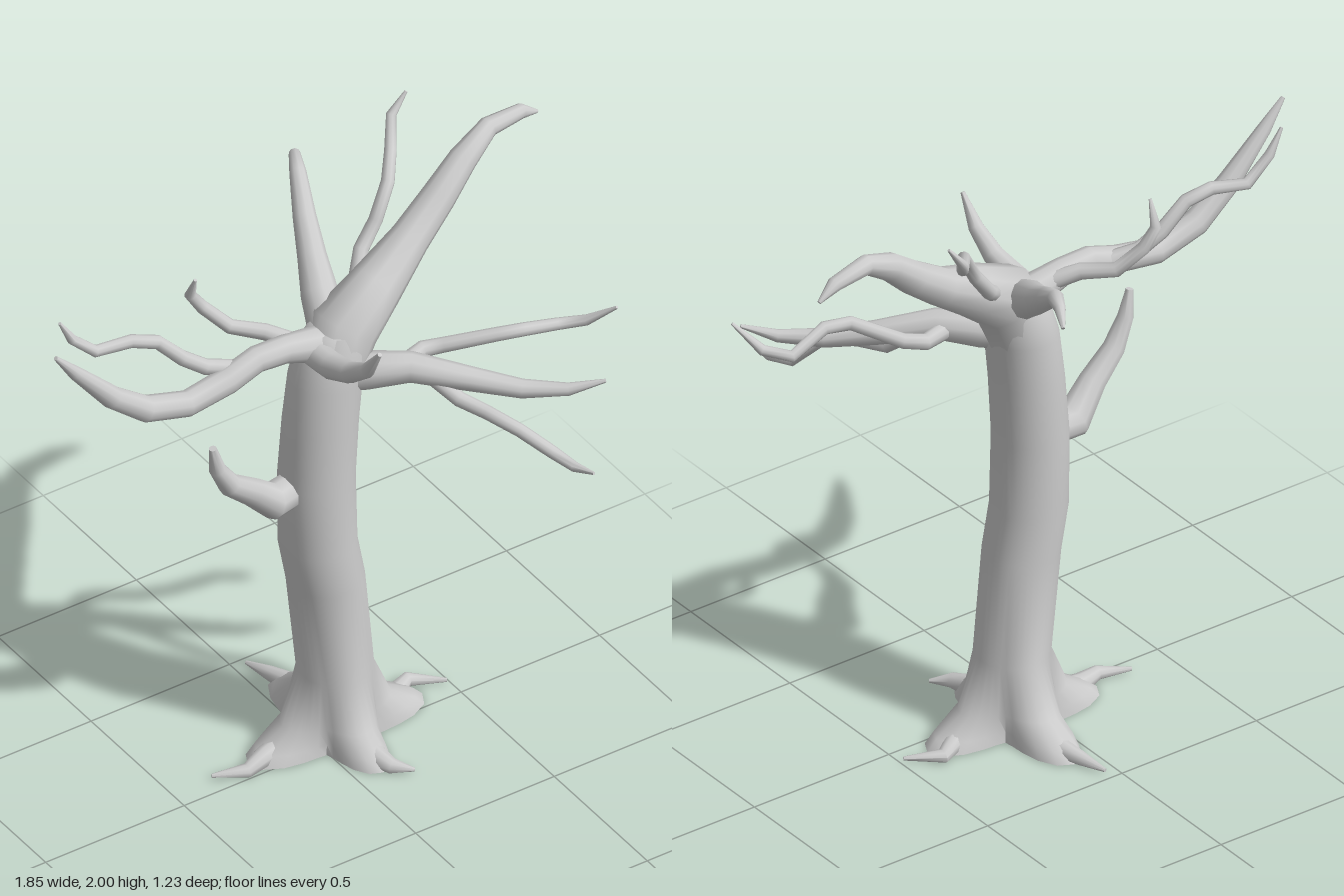
import * as THREE from 'three';
import { toCreasedNormals } from 'three/addons/utils/BufferGeometryUtils.js';

const bark = new THREE.MeshStandardMaterial({ color: 0xcccccc });

// Skin a list of rings (equal-length arrays of Vector3) and close both ends
function loft(rings) {
  const n = rings[0].length, pos = [], idx = [];
  for (const ring of rings) for (const p of ring) pos.push(p.x, p.y, p.z);
  for (let r = 0; r < rings.length - 1; r++) {
    for (let i = 0; i < n; i++) {
      const a = r * n + i, b = r * n + (i + 1) % n;
      idx.push(a, b, a + n, b, b + n, a + n);
    }
  }
  for (const r of [0, rings.length - 1]) {
    const c = new THREE.Vector3();
    rings[r].forEach(p => c.addScaledVector(p, 1 / n));
    const k = pos.length / 3;
    pos.push(c.x, c.y, c.z);
    for (let i = 0; i < n; i++) {
      const a = r * n + i, b = r * n + (i + 1) % n;
      if (r === 0) idx.push(k, b, a); else idx.push(k, a, b);
    }
  }
  const geo = new THREE.BufferGeometry();
  geo.setAttribute('position', new THREE.Float32BufferAttribute(pos, 3));
  geo.setIndex(idx);
  return toCreasedNormals(geo, 1.1);
}

// Tapering limb through [x, y, z, radius] points, kinked at each point
function limb(points, sides = 10) {
  const P = points.map(p => new THREE.Vector3(p[0], p[1], p[2]));
  let u = null;
  const rings = P.map((p, i) => {
    const t = new THREE.Vector3();
    if (i > 0) t.add(p.clone().sub(P[i - 1]).normalize());
    if (i < P.length - 1) t.add(P[i + 1].clone().sub(p).normalize());
    t.normalize();
    if (!u) u = Math.abs(t.y) > 0.9 ? new THREE.Vector3(1, 0, 0) : new THREE.Vector3(0, 1, 0);
    u = u.clone().addScaledVector(t, -u.dot(t)).normalize();
    const v = t.clone().cross(u);
    return Array.from({ length: sides }, (_, k) => {
      const a = k / sides * Math.PI * 2, r = points[i][3];
      const q = p.clone().addScaledVector(u, Math.cos(a) * r).addScaledVector(v, Math.sin(a) * r);
      q.y = Math.max(q.y, 0);
      return q;
    });
  });
  return loft(rings);
}

// Trunk: [y, centre x, radius, root flare, flare sharpness]
function trunkGeometry() {
  const levels = [
    [0, 0.085, 0.125, 0.19, 9], [0.035, 0.085, 0.122, 0.16, 9], [0.09, 0.085, 0.12, 0.07, 6],
    [0.25, 0.085, 0.118, 0, 1], [0.6, 0.05, 0.12, 0, 1], [0.75, 0.022, 0.12, 0, 1],
    [1.0, 0.018, 0.118, 0, 1], [1.2, 0.032, 0.116, 0, 1], [1.36, 0.05, 0.114, 0, 1],
    [1.46, 0.075, 0.108, 0, 1], [1.53, 0.095, 0.085, 0, 1],
  ];
  const n = 40;
  return loft(levels.map(([y, x, r, flare, sharp]) => Array.from({ length: n }, (_, i) => {
    const a = -i / n * Math.PI * 2;
    const lobe = Math.max(Math.abs(Math.cos(a)), Math.abs(Math.sin(a))) ** sharp;
    const d = r + flare * lobe * (Math.sin(a) > 0.7 ? 0.7 : 1);
    return new THREE.Vector3(x + Math.cos(a) * d, y, -0.06 + Math.sin(a) * d);
  })));
}

const limbs = {
  // main limbs
  leftMainLimb: [[0.07, 1.38, -0.06, 0.1], [0.12, 1.51, -0.06, 0.108], [0.25, 1.59, -0.085, 0.085],
    [0.4, 1.68, -0.125, 0.062], [0.52, 1.77, -0.15, 0.054], [0.62, 1.855, -0.17, 0.045],
    [0.73, 1.915, -0.195, 0.032], [0.86, 1.905, -0.215, 0.024], [0.925, 1.87, -0.225, 0.006]],
  rightMainLimb: [[0.08, 1.47, -0.06, 0.06], [0, 1.49, -0.06, 0.054], [-0.1, 1.515, -0.06, 0.044],
    [-0.2, 1.52, -0.06, 0.042], [-0.3, 1.485, -0.06, 0.043], [-0.45, 1.46, -0.06, 0.041],
    [-0.6, 1.505, -0.06, 0.042], [-0.72, 1.6, -0.06, 0.036], [-0.85, 1.745, -0.065, 0.022],
    [-0.92, 1.83, -0.065, 0.007]],
  backLimb: [[0.08, 1.49, -0.08, 0.065], [0.11, 1.56, -0.18, 0.058], [0.15, 1.62, -0.28, 0.045],
    [0.19, 1.69, -0.38, 0.036], [0.24, 1.765, -0.49, 0.026], [0.275, 1.775, -0.56, 0.018],
    [0.3, 1.74, -0.61, 0.006]],
  frontLimb: [[0.08, 1.36, -0.04, 0.055], [0.15, 1.375, 0.01, 0.06], [0.26, 1.39, 0.09, 0.048],
    [0.4, 1.355, 0.2, 0.038], [0.52, 1.33, 0.3, 0.03], [0.63, 1.335, 0.385, 0.02],
    [0.72, 1.37, 0.45, 0.006]],
  frontStub: [[0, 1.47, -0.04, 0.045], [0, 1.48, 0.05, 0.043], [0.005, 1.51, 0.14, 0.034],
    [0.01, 1.57, 0.225, 0.024], [0.015, 1.665, 0.285, 0.007]],
  lowRightLimb: [[-0.05, 0.98, -0.06, 0.055], [-0.15, 0.97, -0.05, 0.058], [-0.24, 1.06, -0.025, 0.044],
    [-0.33, 1.135, -0.01, 0.036], [-0.38, 1.22, 0, 0.026], [-0.4, 1.31, 0.005, 0.012]],
  // twigs
  upperFrontTwig: [[0.24, 1.38, 0.06, 0.03], [0.34, 1.385, 0.03, 0.026], [0.4, 1.395, 0.06, 0.024],
    [0.52, 1.45, 0.165, 0.022], [0.6, 1.45, 0.19, 0.021], [0.73, 1.405, 0.175, 0.019],
    [0.8, 1.425, 0.23, 0.017], [0.855, 1.5, 0.31, 0.005]],
  lowerFrontTwig: [[0.31, 1.36, 0.13, 0.028], [0.36, 1.295, 0.2, 0.024], [0.4, 1.285, 0.29, 0.022],
    [0.45, 1.26, 0.39, 0.021], [0.53, 1.18, 0.45, 0.02], [0.555, 1.165, 0.53, 0.016],
    [0.57, 1.185, 0.61, 0.005]],
  upperRightTwig: [[-0.25, 1.5, -0.07, 0.028], [-0.35, 1.525, -0.11, 0.025], [-0.42, 1.575, -0.13, 0.024],
    [-0.5, 1.66, -0.145, 0.022], [-0.58, 1.685, -0.165, 0.021], [-0.69, 1.675, -0.195, 0.019],
    [-0.77, 1.75, -0.2, 0.016], [-0.815, 1.83, -0.2, 0.005]],
  innerRightTwig: [[-0.03, 1.5, -0.06, 0.03], [-0.12, 1.545, -0.13, 0.026], [-0.2, 1.555, -0.2, 0.023],
    [-0.27, 1.63, -0.245, 0.021], [-0.31, 1.69, -0.25, 0.018], [-0.315, 1.77, -0.215, 0.005]],
  highBackTwig: [[0.2, 1.58, -0.12, 0.028], [0.27, 1.65, -0.195, 0.024], [0.33, 1.73, -0.205, 0.022],
    [0.39, 1.83, -0.23, 0.021], [0.46, 1.86, -0.32, 0.019], [0.51, 1.93, -0.39, 0.016],
    [0.56, 2.0, -0.385, 0.005]],
  // root tips
  leftRoot: [[0.2, 0.03, -0.06, 0.05], [0.31, 0.02, -0.08, 0.034], [0.39, 0.015, -0.125, 0.024],
    [0.49, 0.012, -0.06, 0.006]],
  rightRoot: [[-0.04, 0.03, -0.06, 0.05], [-0.18, 0.02, -0.045, 0.034], [-0.26, 0.015, -0.02, 0.024],
    [-0.36, 0.014, -0.06, 0.006]],
  frontRoot: [[0.09, 0.03, 0.06, 0.05], [0.1, 0.02, 0.15, 0.035], [0.115, 0.014, 0.205, 0.026],
    [0.165, 0.01, 0.25, 0.006]],
  backRoot: [[0.085, 0.03, -0.2, 0.05], [0.085, 0.02, -0.3, 0.034], [0.065, 0.015, -0.38, 0.024],
    [0.04, 0.01, -0.47, 0.006]],
};

export function createModel() {
  const tree = new THREE.Group();
  tree.name = 'bareTree';
  const add = (name, geometry) => {
    const mesh = new THREE.Mesh(geometry, bark);
    mesh.name = name;
    tree.add(mesh);
  };
  add('trunk', trunkGeometry());
  for (const [name, points] of Object.entries(limbs)) add(name, limb(points));
  return tree;
}
